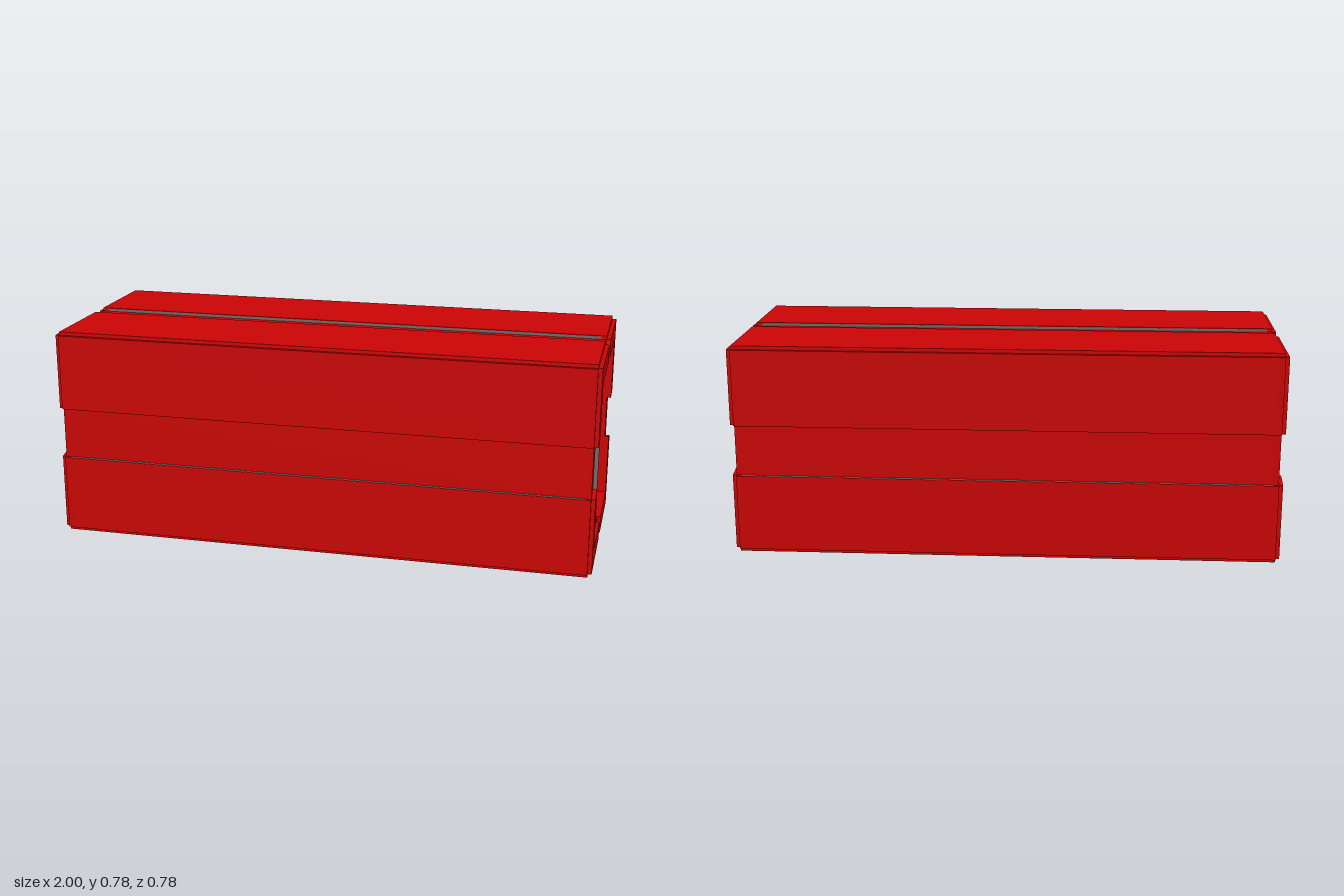
import * as THREE from 'three';

const MID = 0.39;    // height of the beam axis
const BODY = 0.985;  // half length of the outer skin
const TIP = 1.0;     // half length including the corner plates
const CORE = 0.377;  // half width at the grooves
const FACE = 0.39;   // half width over the raised panels
const HOLE = 0.31;   // half width of the end opening
const RIM = 0.02;    // thickness of the end frame

const red = new THREE.MeshStandardMaterial({ color: 0xca0404, side: THREE.DoubleSide });
const grey = new THREE.MeshStandardMaterial({ color: 0x6c6c6c, side: THREE.DoubleSide });

const vec = (list) => list.map(([x, y]) => new THREE.Vector2(x, y));

// mirror a first-quadrant outline into a full counter-clockwise loop
function mirrorLoop(q) {
  const upper = [...q, ...q.map(([x, y]) => [-x, y]).reverse()];
  return [...upper, ...upper.map(([x, y]) => [x, -y]).reverse()];
}

// straight walls following a closed outline along the beam, facing outward if counter-clockwise
function wallGeometry(loop, half) {
  const pos = [];
  loop.forEach(([ax, ay], i) => {
    const [bx, by] = loop[(i + 1) % loop.length];
    pos.push(ax, ay, -half, bx, by, -half, bx, by, half);
    pos.push(ax, ay, -half, bx, by, half, ax, ay, half);
  });
  const g = new THREE.BufferGeometry();
  g.setAttribute('position', new THREE.Float32BufferAttribute(pos, 3));
  g.computeVertexNormals();
  return g;
}

function plate(shape, from, to) {
  return new THREE.ExtrudeGeometry(shape, { depth: to - from, bevelEnabled: false }).translate(0, 0, from);
}

function part(parent, name, geometry, material) {
  const mesh = new THREE.Mesh(geometry, material);
  mesh.name = name;
  parent.add(mesh);
}

// group whose +z runs along the beam towards one end
function alongBeam(name, side) {
  const group = new THREE.Group();
  group.name = name;
  group.rotation.y = side * Math.PI / 2;
  group.position.y = MID;
  return group;
}

export function createModel() {
  const model = new THREE.Group();
  model.name = 'hollowBeam';

  // thin skin with a groove along each side and notched corners, lined in grey
  const outline = mirrorLoop([
    [CORE, 0.095], [FACE, 0.095], [FACE, CORE], [CORE, CORE],
    [CORE, FACE], [0.038, FACE], [0.038, CORE],
  ]);
  const inner = outline.map(([x, y]) => [x * 0.992, y * 0.992]).reverse();
  const body = alongBeam('body', 1);
  part(body, 'outerSkin', wallGeometry(outline, BODY - RIM), red);
  part(body, 'innerLining', wallGeometry(inner, BODY - RIM), grey);
  model.add(body);

  // frame around each opening
  const frame = new THREE.Shape(vec(outline));
  frame.holes.push(new THREE.Path(vec([[HOLE, HOLE], [HOLE, -HOLE], [-HOLE, -HOLE], [-HOLE, HOLE]])));

  // raised corner plate with slanted ends
  const corner = [
    [CORE, 0.095], [CORE, CORE], [0.038, CORE],
    [0.03, HOLE], [HOLE, HOLE], [HOLE, 0.079],
  ];

  for (const side of [1, -1]) {
    const end = alongBeam(side > 0 ? 'leftEnd' : 'rightEnd', side);
    part(end, 'endFrame', plate(frame, BODY - RIM, BODY), red);
    for (const sx of [1, -1]) for (const sy of [1, -1]) {
      const shape = new THREE.Shape(vec(corner.map(([x, y]) => [x * sx, y * sy])));
      part(end, 'cornerPlate', plate(shape, BODY, TIP), red);
    }
    model.add(end);
  }
  return model;
}
